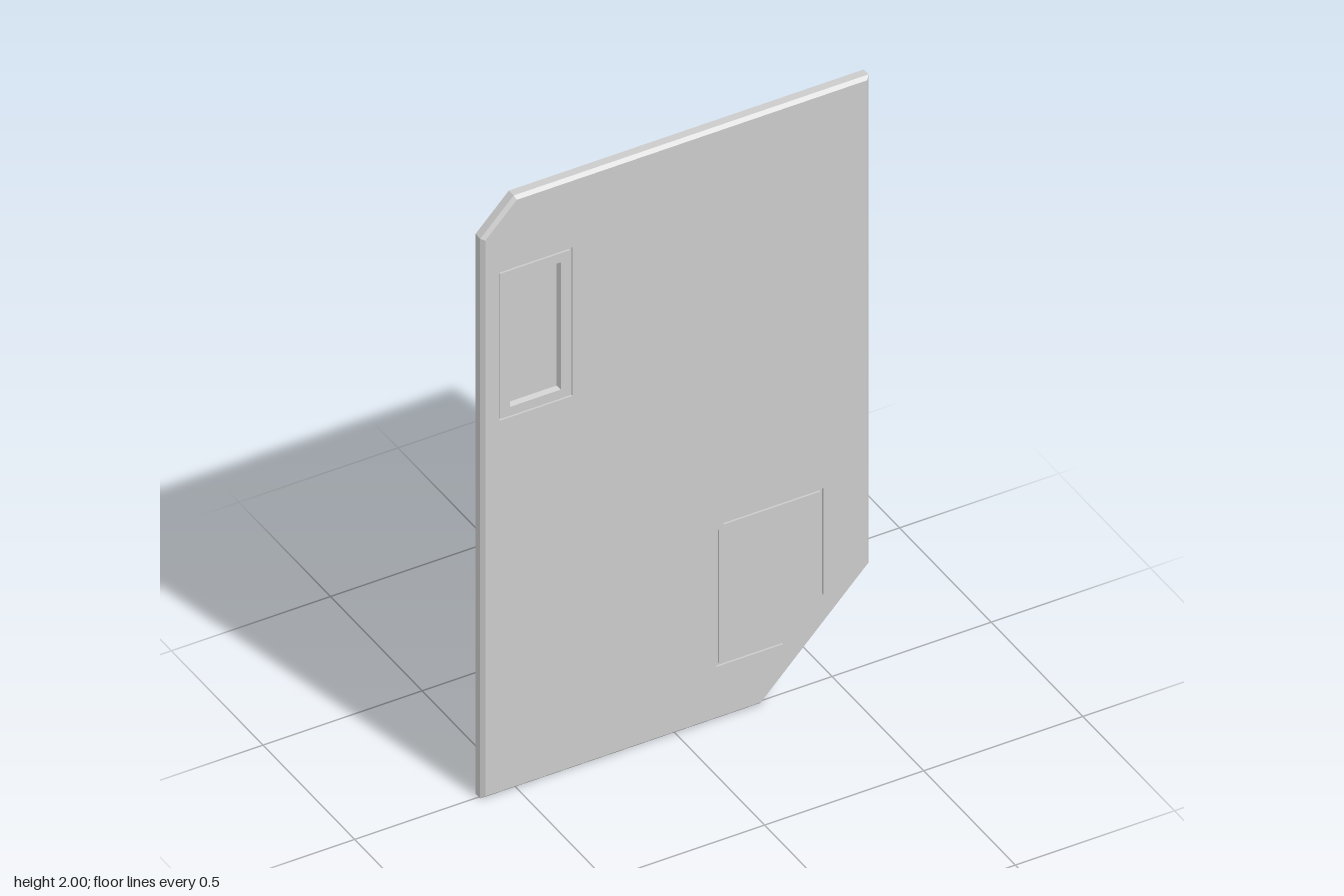
import * as THREE from 'three';

const BACK = -0.018, EDGE = 0.008, FRONT = 0.018;
const material = new THREE.MeshStandardMaterial({ color: 0xcccccc, flatShading: true });

// Outlines, counter-clockwise seen from the front
const outline = [[-0.61, 0], [0.27, 0], [0.61, 0.35], [0.61, 2], [-0.505, 2], [-0.61, 1.892]];
const hatch = [[0.127, 0.181], [0.337, 0.181], [0.462, 0.303], [0.462, 0.662], [0.147, 0.662], [0.127, 0.642]];
const rect = (x0, y0, x1, y1) => [[x0, y0], [x1, y0], [x1, y1], [x0, y1]];

// Moves every edge of a convex loop inwards by d
function inset(loop, d) {
  const n = loop.length;
  const dir = (a, b) => new THREE.Vector2(b[0] - a[0], b[1] - a[1]).normalize();
  return loop.map((p, i) => {
    const u = dir(loop[(i + n - 1) % n], p), v = dir(p, loop[(i + 1) % n]);
    const k = d / u.cross(v);
    return [p[0] + (v.x - u.x) * k, p[1] + (v.y - u.y) * k];
  });
}

// Band of quads from loop a (at za) to loop b (at zb)
function band(a, za, b, zb) {
  const pos = [];
  a.forEach((p, i) => {
    const j = (i + 1) % a.length;
    const A = [...p, za], B = [...a[j], za], C = [...b[j], zb], D = [...b[i], zb];
    pos.push(...A, ...B, ...C, ...A, ...C, ...D);
  });
  const g = new THREE.BufferGeometry();
  g.setAttribute('position', new THREE.Float32BufferAttribute(pos, 3));
  g.computeVertexNormals();
  return g;
}

// Flat face with holes
function face(loop, z, holes = []) {
  const points = (l) => l.map(([x, y]) => new THREE.Vector2(x, y));
  const shape = new THREE.Shape(points(loop));
  holes.forEach((h) => shape.holes.push(new THREE.Path(points(h))));
  return new THREE.ShapeGeometry(shape).translate(0, 0, z);
}

export function createModel() {
  const model = new THREE.Group();
  const add = (name, geometry) => {
    const mesh = new THREE.Mesh(geometry, material);
    mesh.name = name;
    model.add(mesh);
    return mesh;
  };

  // Narrow groove cut into the front between two loops
  const groove = (name, outer, inner) => {
    const floor = FRONT - 0.006;
    add(name + 'OuterWall', band(outer, FRONT, outer, floor));
    add(name + 'Floor', face(outer, floor, [inner]));
    add(name + 'InnerWall', band(inner, floor, inner, FRONT));
  };

  // Door slab with a chamfered front edge
  const frontLoop = inset(outline, 0.01);
  const frame = rect(-0.555, 1.263, -0.326, 1.766);
  const frameInner = rect(-0.553, 1.27, -0.333, 1.759);
  const hatchInner = inset(hatch, 0.008);
  add('slabSides', band(outline, BACK, outline, EDGE));
  add('slabChamfer', band(outline, EDGE, frontLoop, FRONT));
  add('slabFront', face(frontLoop, FRONT, [frame, hatch]));
  add('slabBack', face(outline, 0).rotateY(Math.PI).scale(1, 1, 1));
  // Turn the back face round while keeping its outline
  const back = model.getObjectByName('slabBack');
  back.geometry = face(outline.map(([x, y]) => [-x, y]).reverse(), 0).rotateY(Math.PI).translate(0, 0, BACK);

  // Lower hatch: groove around a flush panel
  groove('hatchGroove', hatch, hatchInner);
  add('hatchPanel', face(hatchInner, FRONT));

  // Upper window: grooved frame around a sunken pane
  const pane = rect(-0.522, 1.298, -0.362, 1.728);
  const paneFloor = inset(pane, 0.005);
  groove('frameGroove', frame, frameInner);
  add('windowFrame', face(frameInner, FRONT, [pane]));
  add('windowRecess', band(pane, FRONT, paneFloor, 0.002));
  add('windowPane', face(paneFloor, 0.002));

  return model;
}
